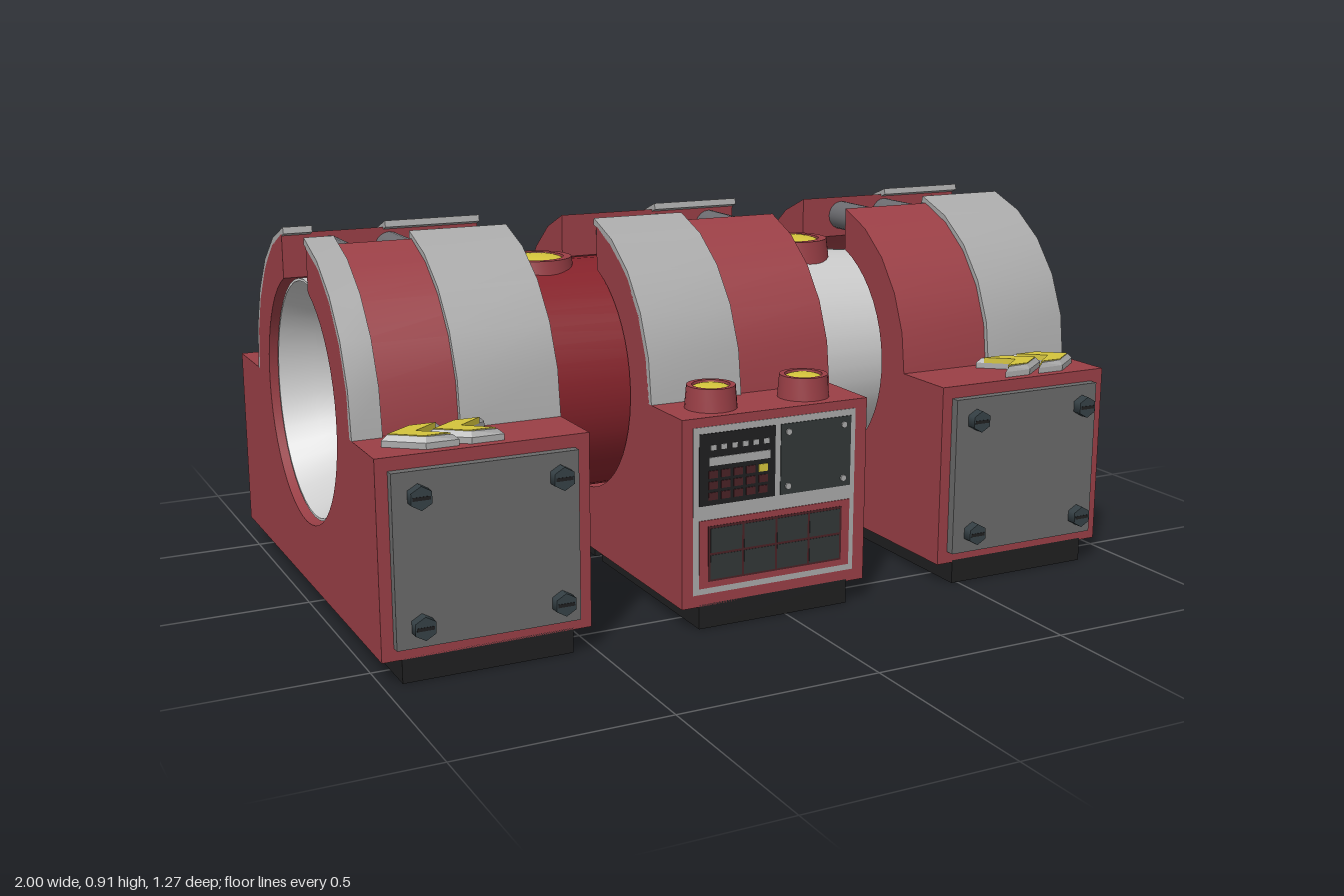
import * as THREE from 'three';
import { toCreasedNormals } from 'three/addons/utils/BufferGeometryUtils.js';

const CY = 0.51, CZ = 0.0175; // tube axis
const mat = color => new THREE.MeshStandardMaterial({ color });
const M = {
  red: mat(0x9a3f46), tube: mat(0x86232b), pale: mat(0xd4d4d4), cap: mat(0xaaaaaa), panel: mat(0x6a6a6a),
  rod: mat(0x6c6c70), gold: mat(0xd4c43c), tan: mat(0xcab884), dark: mat(0x1f1f20),
  bolt: mat(0x364146), screen: mat(0x323838), keys: mat(0x4a2226),
};

function add(parent, name, geo, material, x = 0, y = 0, z = 0) {
  const m = new THREE.Mesh(geo, material);
  m.name = name;
  m.position.set(x, y, z);
  parent.add(m);
  return m;
}
// Box given by its limits, in any order
function box(p, name, m, x0, x1, y0, y1, z0, z1) {
  return add(p, name, new THREE.BoxGeometry(Math.abs(x1 - x0), Math.abs(y1 - y0), Math.abs(z1 - z0)), m,
    (x0 + x1) / 2, (y0 + y1) / 2, (z0 + z1) / 2);
}
// Closed cylinder or cone lying on the tube axis, x0 < x1
function axial(p, name, m, x0, r0, x1, r1) {
  const g = new THREE.CylinderGeometry(r1, r0, x1 - x0, 40).rotateZ(-Math.PI / 2);
  return add(p, name, g, m, (x0 + x1) / 2, CY, CZ);
}
const lathe = (pts, n) => toCreasedNormals(new THREE.LatheGeometry(pts.map(a => new THREE.Vector2(...a)), n), 0.6);

// Cross-section (u = -z, v = y) extruded along x from x0 to x1
function alongX(shape, x0, x1) {
  const g = new THREE.ExtrudeGeometry(shape, { depth: x1 - x0, bevelEnabled: false })
    .rotateY(Math.PI / 2).translate(x0, 0, 0);
  return toCreasedNormals(g, 0.5);
}
function arcPoints(r, a0, a1, n) {
  return Array.from({ length: n + 1 }, (_, i) => {
    const a = a0 + (a1 - a0) * i / n;
    return new THREE.Vector2(-CZ + r * Math.cos(a), CY + r * Math.sin(a));
  });
}

// Block with a domed top, a round tunnel and a slot open to the sky
function housingShape() {
  const R = 0.4, r = 0.298, half = 0.108;
  const ao = Math.acos(half / R), ai = Math.acos(half / r), V = (x, y) => new THREE.Vector2(x, y);
  return new THREE.Shape([
    V(-0.59, 0.055), V(0.58, 0.055), V(0.58, CY),
    ...arcPoints(R, 0, ao, 5),
    ...arcPoints(r, ai, -Math.PI - ai, 44),
    ...arcPoints(R, Math.PI - ao, Math.PI, 5),
    V(-0.59, CY),
  ]);
}
// Curved plate over one side of the dome; side +1 is the front
function capShape(side) {
  const a1 = Math.acos(0.093 / 0.413);
  const flip = a => side > 0 ? Math.PI - a : a;
  return new THREE.Shape([...arcPoints(0.413, flip(0), flip(a1), 5),
    ...arcPoints(0.397, flip(a1), flip(0), 5)]);
}

// Plate with four hexagonal bolts on the front or back face
function sidePanel(p, x0, side) {
  const zf = side > 0 ? 0.59 : -0.58;
  const g = new THREE.Group();
  g.name = 'boltedPanel';
  p.add(g);
  box(g, 'panelPlate', M.panel, x0 + 0.028, x0 + 0.457, 0.085, 0.48, zf - side * 0.02, zf + side * 0.022);
  for (const x of [0.086, 0.412]) for (const y of [0.135, 0.425]) {
    const b = new THREE.CylinderGeometry(0.027, 0.027, 0.05, 6).rotateX(Math.PI / 2);
    add(g, 'bolt', b, M.bolt, x0 + x, y, zf + side * 0.022);
    box(g, 'boltSlot', M.dark, x0 + x - 0.02, x0 + x + 0.02, y - 0.004, y + 0.004,
      zf + side * 0.04, zf + side * 0.048);
  }
}

// Double arrow lying on a ledge, pointing along dir
function arrows(p, xTip, dir, z) {
  const chevron = k => new THREE.Shape([[0, 0], [0.08, 0.062], [0.155, 0.062],
    [0.078, 0], [0.155, -0.062], [0.08, -0.062]].map(([x, y]) =>
    new THREE.Vector2((0.078 + (x - 0.078) * k) * -dir, y * k)));
  for (const off of [0, 0.103]) {
    const x = xTip - dir * off;
    const base = new THREE.ExtrudeGeometry(chevron(1), { depth: 0.014, bevelEnabled: true,
      bevelSize: 0.01, bevelThickness: 0.012, bevelSegments: 1, bevelOffset: -0.01 });
    const inlay = new THREE.ExtrudeGeometry(chevron(0.8), { depth: 0.028, bevelEnabled: false });
    add(p, 'arrowBase', base.rotateX(-Math.PI / 2), M.cap, x, CY, z);
    add(p, 'arrowInlay', inlay.rotateX(-Math.PI / 2), M.gold, x, CY, z);
  }
}

// Red collar with a slightly sunken gold button
function button(p, name, x, y, z, r, h) {
  add(p, name + 'Collar', lathe([[r * 1.08, 0], [r, h], [r * 0.78, h], [r * 0.74, h - 0.015]], 28), M.red, x, y, z);
  const dome = new THREE.SphereGeometry(r * 0.77, 28, 6, 0, Math.PI * 2, 0, Math.PI / 2).scale(1, 0.2, 1);
  add(p, name + 'Top', dome, M.gold, x, y + h - 0.008, z);
}

// Control board on the front of the middle housing, in thin layers
function controlBoard(p) {
  const g = new THREE.Group(), back = 0.58, z1 = 0.5915, z2 = 0.5935, z3 = 0.5955;
  g.name = 'controlBoard';
  p.add(g);
  box(g, 'boardFrame', M.cap, -0.25, 0.185, 0.085, 0.488, back, z1);
  box(g, 'keyArea', M.dark, -0.235, -0.035, 0.3, 0.472, back, z2);
  box(g, 'labelStrip', M.cap, -0.21, -0.05, 0.395, 0.415, back, z3);
  box(g, 'screenPlate', M.screen, -0.02, 0.172, 0.3, 0.472, back, z2);
  for (let i = 0; i < 6; i++) {
    const x = -0.2 + i * 0.028;
    box(g, 'lamp', M.cap, x - 0.007, x + 0.007, 0.432, 0.444, back, z3);
  }
  for (let i = 0; i < 5; i++) for (let j = 0; j < 3; j++) {
    const x = -0.2 + i * 0.033, y = 0.322 + j * 0.026;
    box(g, 'key', i === 4 && j === 2 ? M.gold : M.keys, x - 0.012, x + 0.012, y - 0.009, y + 0.009, back, z3);
  }
  for (const x of [0, 0.152]) for (const y of [0.32, 0.452]) {
    add(g, 'rivet', new THREE.CylinderGeometry(0.008, 0.008, 0.008, 10).rotateX(Math.PI / 2), M.cap, x, y, z2);
  }
  box(g, 'lowerFrame', M.red, -0.235, 0.172, 0.1, 0.265, back, z2);
  box(g, 'lowerBack', M.keys, -0.212, 0.15, 0.115, 0.25, back, 0.5945);
  for (let i = 0; i < 4; i++) for (let j = 0; j < 2; j++) {
    const x = -0.206 + i * 0.089, y = 0.12 + j * 0.065;
    box(g, 'lowerScreen', M.screen, x, x + 0.083, y, y + 0.059, back, z3);
  }
}

function housing(root, name, x0, x1, caps, rods) {
  const g = new THREE.Group();
  g.name = name;
  root.add(g);
  add(g, 'housingBody', alongX(housingShape(), x0, x1), M.red);
  for (const [a, b, side] of caps) add(g, 'domePlate', alongX(capShape(side), a, b), M.cap);
  for (const x of rods) {
    add(g, 'slotRod', new THREE.CylinderGeometry(0.038, 0.038, 0.225, 20).rotateX(Math.PI / 2), M.rod, x, 0.845, CZ);
  }
  box(g, 'frontFoot', M.dark, x0 + 0.045, x0 + 0.447, 0, 0.06, 0.04, 0.59);
  box(g, 'backFoot', M.dark, x0 + 0.045, x0 + 0.447, 0, 0.06, -0.555, -0.005);
  sidePanel(g, x0, -1);
  return g;
}

// Tube end with a flared mouth and a hollow hub, opening towards s
function mouth(root, name, s, xEnd, length, material) {
  const g = new THREE.Group();
  g.name = name;
  g.position.set(xEnd, CY, CZ);
  g.rotation.z = -s * Math.PI / 2;
  root.add(g);
  add(g, 'flare', lathe([[0, -length], [0.29, -length], [0.29, 0], [0.284, 0], [0.25, -0.08],
    [0.2, -0.18], [0.15, -0.25], [0, -0.25]], 40), material);
  add(g, 'hubPlate', new THREE.CylinderGeometry(0.132, 0.132, 0.06, 40), M.tan, 0, -0.23, 0);
  add(g, 'hub', lathe([[0.084, -0.22], [0.084, -0.085], [0.037, -0.085], [0.037, -0.12], [0, -0.12]], 32), M.gold);
}

export function createModel() {
  const root = new THREE.Group();
  root.name = 'machine';

  // Housings
  const h1 = housing(root, 'rightHousing', -1, -0.508,
    [1, -1].flatMap(s => [[-1, -0.93, s], [-0.75, -0.508, s]]), [-0.885, -0.735, -0.608]);
  const h2 = housing(root, 'middleHousing', -0.278, 0.217,
    [[-0.278, -0.038, 1], [-0.022, 0.217, -1]], [-0.145, -0.01, 0.145]);
  const h3 = housing(root, 'leftHousing', 0.438, 0.93,
    [1, -1].map(s => [0.69, 0.93, s]), [0.559, 0.699, 0.859]);
  sidePanel(h1, -1, 1);
  sidePanel(h3, 0.438, 1);
  controlBoard(h2);
  for (const z of [0.505, -0.49]) {
    arrows(h1, -0.957, -1, z);
    arrows(h3, 0.9, 1, z);
    for (const x of [-0.16, 0.09]) button(h2, 'ledgeButton', x, CY, z, 0.058, 0.055);
  }

  // Tube sections
  mouth(root, 'rightTubeEnd', -1, -0.98, 0.38, M.pale);
  axial(root, 'middleTube', M.tube, -0.6, 0.29, 0, 0.29);
  axial(root, 'taperedTube', M.pale, 0, 0.296, 0.68, 0.243);
  mouth(root, 'leftTubeEnd', 1, 1, 0.32, M.tube);

  // Gold caps on the tube
  button(root, 'tubeCap', -0.4, 0.76, 0.025, 0.09, 0.055);
  button(root, 'tubeCap', 0.33, 0.755, 0.025, 0.096, 0.058);
  return root;
}
